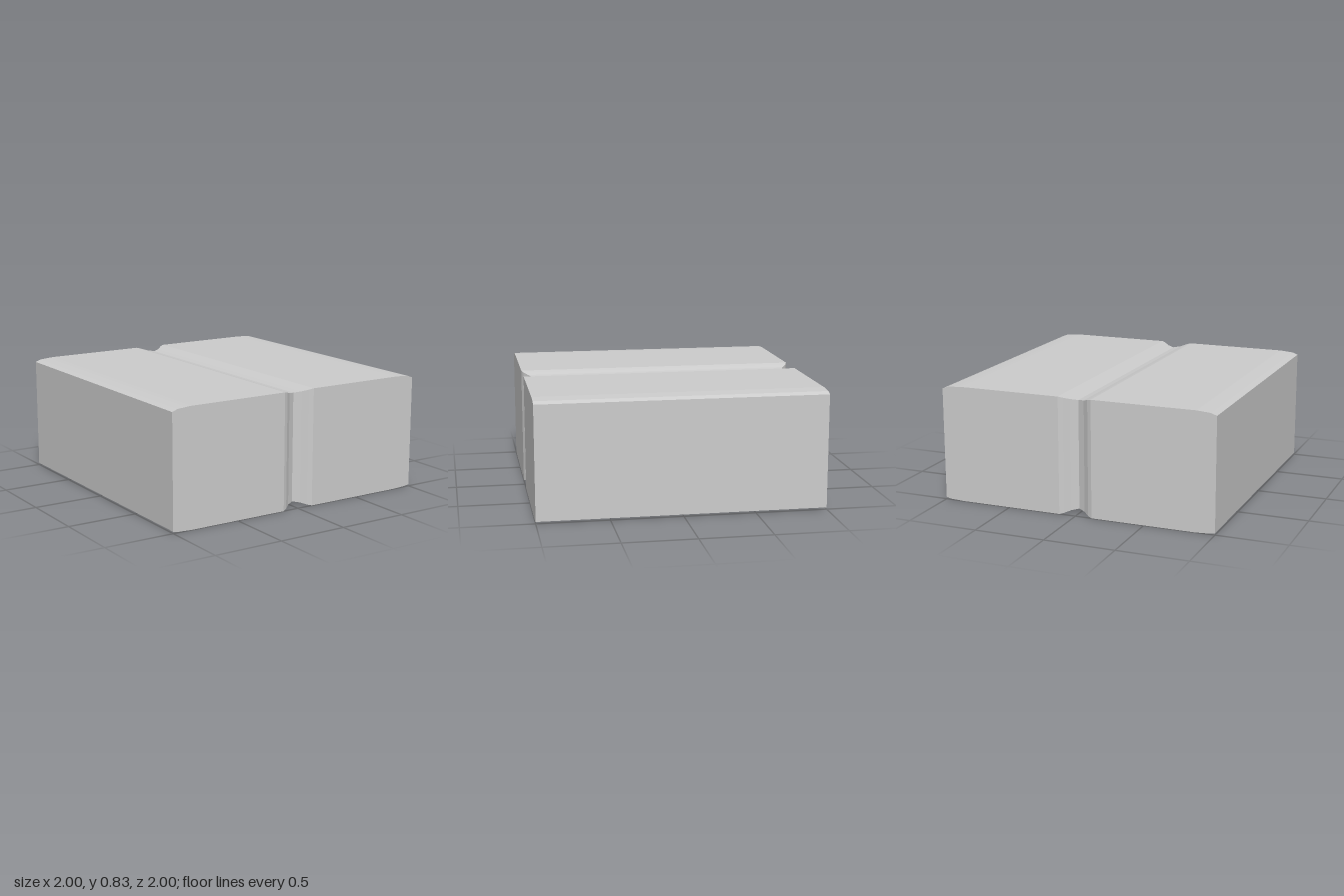
import * as THREE from 'three';

// Half profile from the centre groove out to the side: [x, bottom, top, half depth]
const HALF = [
  [0, 0.032, 0.8, 0.93],
  [0.05, 0.022, 0.808, 0.955],
  [0.09, 0.008, 0.821, 0.987],
  [0.12, 0, 0.829, 1],
  [0.86, 0, 0.829, 1],
  [0.9, 0.002, 0.826, 1],
  [0.96, 0.005, 0.821, 1],
  [1, 0.013, 0.806, 1],
];

// Loft rectangular sections along x, closing both ends
function loftBlock(sections) {
  const positions = [];
  const quad = (a, b, c, d) => positions.push(...a, ...b, ...c, ...a, ...c, ...d);
  const rings = sections.map(([x, bottom, top, depth]) => [
    [x, bottom, depth], [x, bottom, -depth], [x, top, -depth], [x, top, depth],
  ]);
  for (let i = 0; i < rings.length - 1; i++) {
    for (let k = 0; k < 4; k++) {
      const n = (k + 1) % 4;
      quad(rings[i][k], rings[i][n], rings[i + 1][n], rings[i + 1][k]);
    }
  }
  quad(...rings[rings.length - 1]);
  quad(...[...rings[0]].reverse());
  const geometry = new THREE.BufferGeometry();
  geometry.setAttribute('position', new THREE.Float32BufferAttribute(positions, 3));
  geometry.computeVertexNormals();
  return geometry;
}

export function createModel() {
  const group = new THREE.Group();
  group.name = 'groovedBlock';

  // Mirror the half profile about the central groove
  const mirrored = HALF.slice(1).reverse().map(([x, ...rest]) => [-x, ...rest]);
  const material = new THREE.MeshStandardMaterial({ color: 0xcccccc, flatShading: true });
  const block = new THREE.Mesh(loftBlock([...mirrored, ...HALF]), material);
  block.name = 'block';
  group.add(block);
  return group;
}
